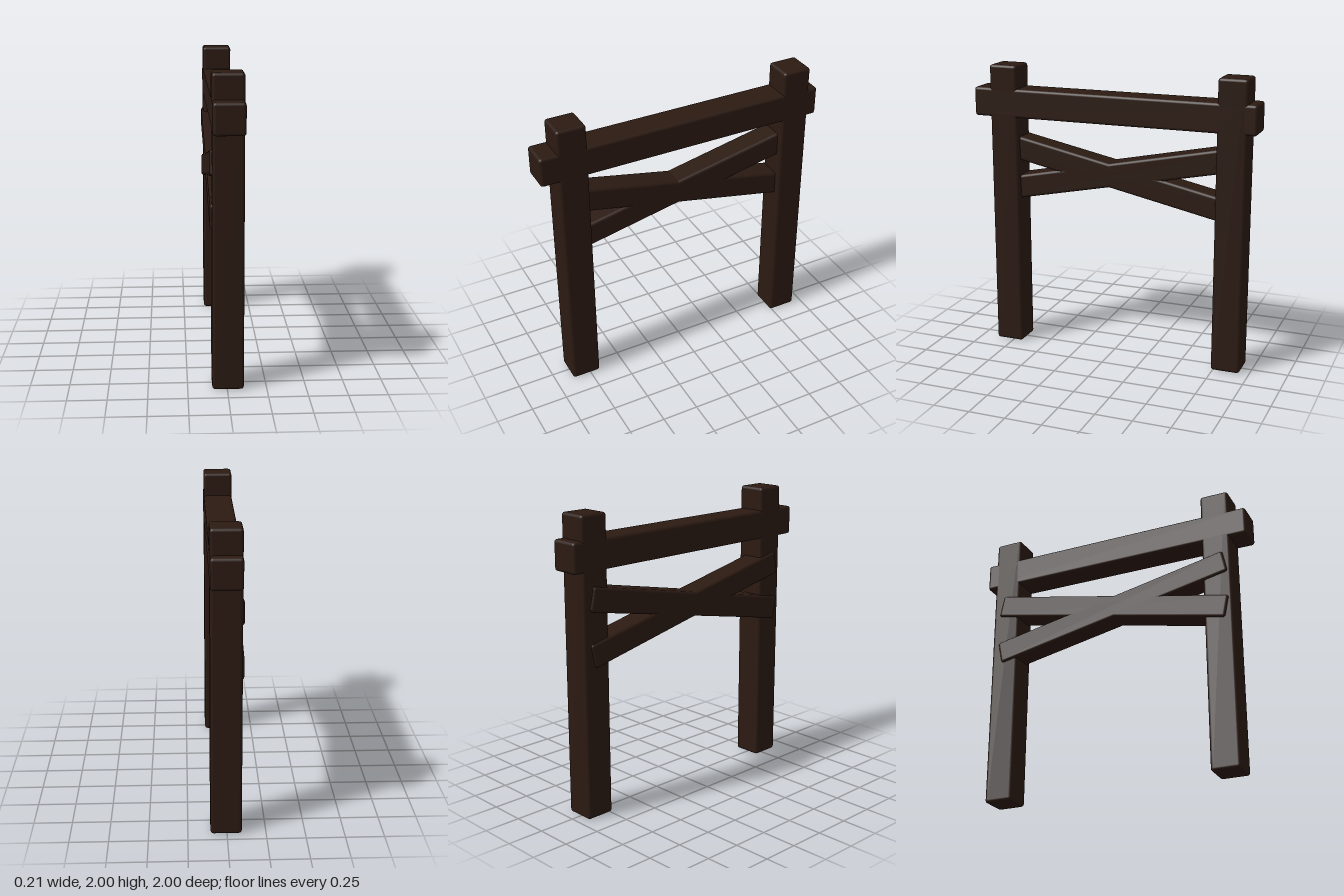
import * as THREE from 'three';
import { RoundedBoxGeometry } from 'three/addons/geometries/RoundedBoxGeometry.js';

export function createModel() {
  const group = new THREE.Group();
  const wood = new THREE.MeshStandardMaterial({ color: 0x2b1a12 });

  // One timber with softly rounded edges
  const timber = (name, size, position, tilt = 0) => {
    const mesh = new THREE.Mesh(new RoundedBoxGeometry(...size, 2, 0.02), wood);
    mesh.name = name;
    mesh.position.set(...position);
    mesh.rotation.x = tilt;
    group.add(mesh);
  };

  // Upright posts
  timber('frontPost', [0.2, 2, 0.2], [0.005, 1, 0.78]);
  timber('backPost', [0.2, 2, 0.2], [0.005, 1, -0.835]);

  // Top beam running through both posts
  timber('crossBeam', [0.2, 0.2, 2], [0.005, 1.74, 0]);

  // Crossed braces, slightly proud of the posts on one side
  timber('braceRisingToFront', [0.17, 0.163, 1.75], [-0.023, 1.276, -0.014], -0.205);
  timber('braceRisingToBack', [0.17, 0.163, 1.75], [-0.023, 1.292, -0.014], 0.205);

  return group;
}
